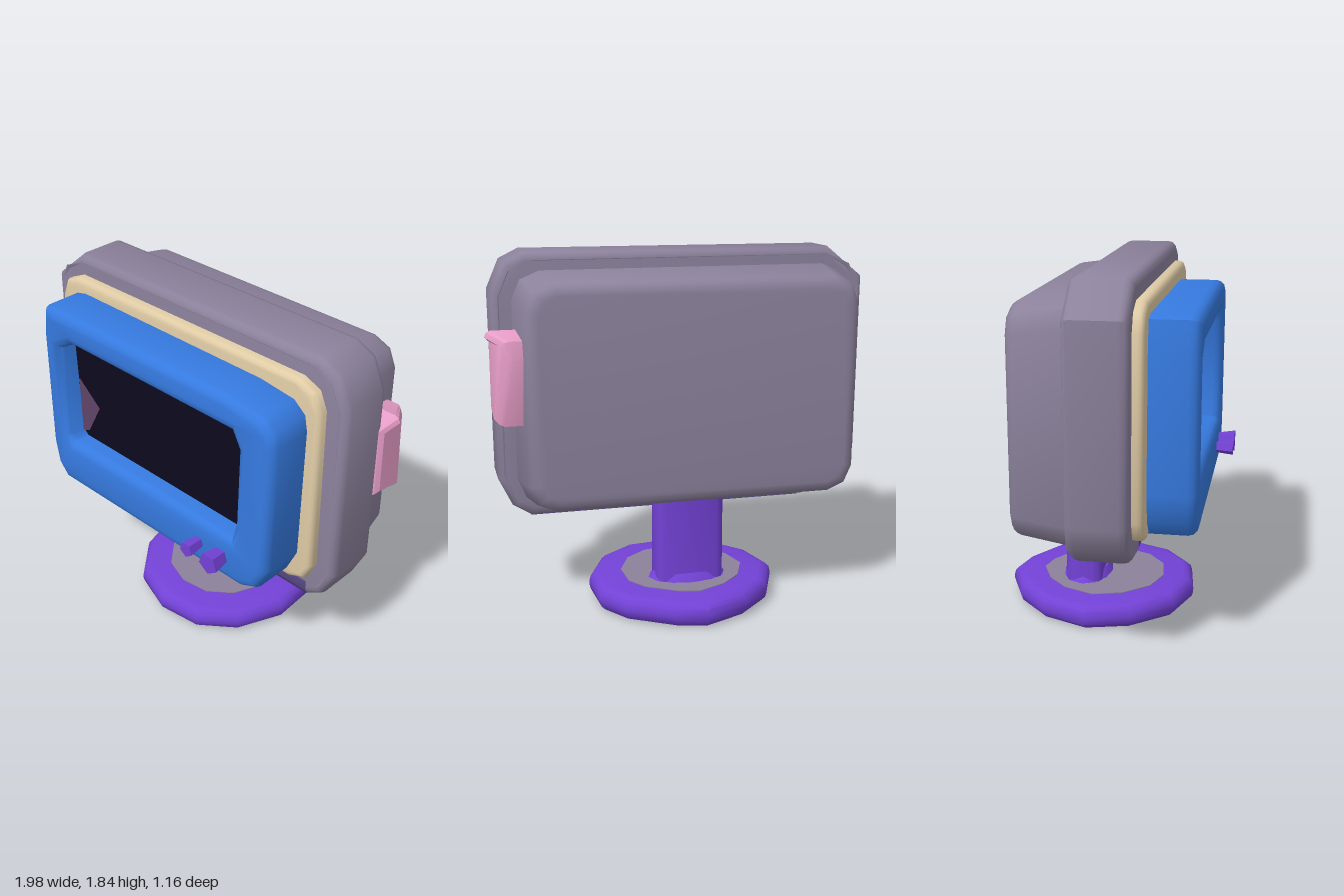
import * as THREE from 'three';
import { toCreasedNormals } from 'three/addons/utils/BufferGeometryUtils.js';

const mat = (name, color, side = THREE.FrontSide) => {
  const m = new THREE.MeshStandardMaterial({ color, side });
  m.name = name;
  return m;
};

// Outline with the listed corner points
const outline = (pts, Type = THREE.Shape) => new Type(pts.map(([x, y]) => new THREE.Vector2(x, y)));

// Rounded slab between z0 and z1; the bevel stays inside the outline
function slab(pts, z0, z1, bevel, hole, segments = 3) {
  const shape = outline(pts);
  if (hole) shape.holes.push(outline(hole, THREE.Path));
  const g = new THREE.ExtrudeGeometry(shape, {
    depth: z1 - z0 - 2 * bevel, bevelEnabled: bevel > 0, bevelThickness: bevel,
    bevelSize: bevel, bevelOffset: -bevel, bevelSegments: segments,
  });
  return g.translate(0, 0, z0 + bevel);
}

// Rectangle with cut and softened corners
function softRect(x0, x1, y0, y1, c) {
  const k = c * 0.3;
  return [
    [x0 + c, y0], [x1 - c, y0], [x1 - k, y0 + k], [x1, y0 + c],
    [x1, y1 - c], [x1 - k, y1 - k], [x1 - c, y1], [x0 + c, y1],
    [x0 + k, y1 - k], [x0, y1 - c], [x0, y0 + c], [x0 + k, y0 + k],
  ];
}

// Move every vertex by a rule
function bend(g, rule) {
  const p = g.attributes.position;
  const v = new THREE.Vector3();
  for (let i = 0; i < p.count; i++) {
    rule(v.fromBufferAttribute(p, i));
    p.setXYZ(i, v.x, v.y, v.z);
  }
  return g;
}

export function createModel() {
  const grey = mat('casing grey', 0x8c829c);
  const blue = mat('bezel blue', 0x367ae0);
  const cream = mat('trim cream', 0xe0cca6);
  const purple = mat('stand purple', 0x7342d6);
  const pink = mat('knob pink', 0xe59cc6);
  const black = mat('screen black', 0x0d0a1e);
  const dusk = mat('underside violet', 0x5c4c8c);
  const mauve = mat('reflection mauve', 0x5e4468, THREE.DoubleSide);

  const model = new THREE.Group();
  const add = (name, geometry, material, crease = 0.8) => {
    const mesh = new THREE.Mesh(toCreasedNormals(geometry, crease), material);
    mesh.name = name;
    model.add(mesh);
    return mesh;
  };

  // Wide casing frame around the front
  add('casingFrame', slab([
    [-0.68, 0.5], [0.78, 0.5], [0.87, 0.555], [0.94, 0.7], [0.945, 1.64], [0.88, 1.79],
    [0.78, 1.84], [-0.8, 1.835], [-0.99, 1.68], [-0.985, 0.74], [-0.94, 0.6], [-0.82, 0.52],
  ], -0.1, 0.2, 0.045, softRect(-0.915, 0.865, 0.595, 1.755, 0.14)), grey);

  // Dark floor of the groove and the panel closing the frame
  add('groove', slab(softRect(-0.93, 0.88, 0.58, 1.77, 0.12), 0.12, 0.145, 0), black);
  add('framePanel', slab(softRect(-0.93, 0.88, 0.58, 1.77, 0.12), -0.085, 0.12, 0), grey);

  // Back shell narrowing towards the rear
  const shell = slab(softRect(-0.9, 0.85, 0.56, 1.755, 0.14), -0.385, 0, 0.06, null, 4);
  bend(shell, v => {
    const s = 1 - 0.05 * Math.max(0, (-0.1 - v.z) / 0.28);
    v.x = -0.025 + (v.x + 0.025) * s;
    v.y = 1.158 + (v.y - 1.158) * (1 - (1 - s) * 1.4);
  });
  add('backShell', shell, grey);
  const seam = new THREE.BoxGeometry(0.02, 0.75, 0.008).translate(-0.905, 1.15, -0.1);
  add('rearSeam', seam, black);

  // Cream trim and blue bezel
  add('creamTrim', slab(softRect(-0.895, 0.84, 0.615, 1.738, 0.13), 0.1, 0.255, 0.03), cream);
  const opening = [
    [-0.62, 0.9], [0.53, 0.885], [0.555, 0.98], [0.57, 1.42], [0.53, 1.495],
    [-0.57, 1.505], [-0.665, 1.45], [-0.65, 0.93],
  ];
  add('blueBezel', slab([
    [-0.7, 0.63], [0.6, 0.625], [0.7, 0.67], [0.76, 0.8], [0.78, 1.5], [0.765, 1.58],
    [0.7, 1.635], [0.5, 1.66], [-0.7, 1.67], [-0.765, 1.655], [-0.785, 1.5], [-0.795, 0.85], [-0.77, 0.71],
  ], 0.2, 0.49, 0.05, opening), blue);

  // Recessed screen with a small reflection at its left edge
  add('screen', slab(softRect(-0.69, 0.6, 0.86, 1.53, 0.02), 0.36, 0.375, 0), black);
  const glint = new THREE.ShapeGeometry(outline([[-0.65, 0.92], [-0.6, 0.94], [-0.5, 1.12], [-0.65, 1.25]]));
  add('screenReflection', glint.translate(0, 0, 0.38), mauve);

  // Violet cover along the lower front edge and underside
  const lip = outline([
    [0.203, 0.595], [0.203, 0.542], [0.19, 0.512], [0.158, 0.496], [-0.06, 0.496],
    [-0.06, 0.503], [0.155, 0.503], [0.184, 0.518], [0.196, 0.545], [0.196, 0.595],
  ]);
  const lipGeo = new THREE.ExtrudeGeometry(lip, { depth: 1.45, bevelEnabled: false });
  add('lowerLip', lipGeo.rotateY(-Math.PI / 2).translate(0.78, 0, 0), dusk);
  const belly = add('shellUnderside', new THREE.BoxGeometry(1.15, 0.008, 0.17), dusk);
  belly.position.set(-0.03, 0.573, -0.185);
  belly.rotation.x = 0.17;

  // Pink side knob, its outer face sloping back at both ends
  const knob = slab([
    [-0.26, 1.02], [-0.06, 1.06], [-0.055, 1.43], [-0.16, 1.475], [-0.295, 1.44], [-0.31, 1.35],
  ], 0, 0.25, 0.03, null, 2);
  knob.rotateY(-Math.PI / 2).translate(1, 0, 0);
  bend(knob, v => {
    const cap = v.z < -0.2 ? 1 + (v.z + 0.2) * 1.1 : 1 - (v.z + 0.2) * 0.35;
    if (v.x > 0.8) v.x = 0.8 + (v.x - 0.8) * (cap - 0.8) / 0.2;
  });
  add('sideKnob', knob, pink, 0.5);

  // Two little front buttons, flaring outwards
  for (const [x, y, r] of [[0.33, 0.762, 0.042], [0.478, 0.76, 0.06]]) {
    const b = new THREE.CylinderGeometry(r, r * 0.7, 0.11, 5).rotateX(Math.PI / 2);
    add('frontButton', b.translate(x, y, 0.525), purple, 0.3);
  }

  // Neck with a flared foot
  const neck = slab(softRect(-0.2, 0.155, -0.26, -0.07, 0.045), 0, 0.5, 0).rotateX(Math.PI / 2);
  add('neck', neck.translate(0, 0.6, 0), purple);
  const foot = new THREE.CylinderGeometry(0.9, 1.15, 0.05, 12).scale(0.19, 1, 0.12);
  add('neckFoot', foot.translate(-0.02, 0.15, -0.165), purple);

  // Many-sided base with a grey inlay on top
  const basePts = [
    [-0.51, -0.1], [-0.45, 0.13], [-0.28, 0.33], [-0.05, 0.41], [0.19, 0.38], [0.37, 0.24], [0.475, 0],
    [0.46, -0.25], [0.36, -0.4], [0.13, -0.545], [-0.03, -0.585], [-0.25, -0.49], [-0.41, -0.34],
  ];
  const base = slab(basePts, 0, 0.13, 0.055).rotateX(Math.PI / 2).translate(0, 0.133, 0);
  add('base', base, purple, 0.7);
  const inlayPts = basePts.map(([x, z]) => [-0.02 + (x + 0.02) * 0.66, -0.07 + (z + 0.07) * 0.66]);
  const inlay = slab(inlayPts, 0, 0.006, 0).rotateX(Math.PI / 2).translate(0, 0.137, 0);
  add('baseInlay', inlay, grey);

  return model;
}
